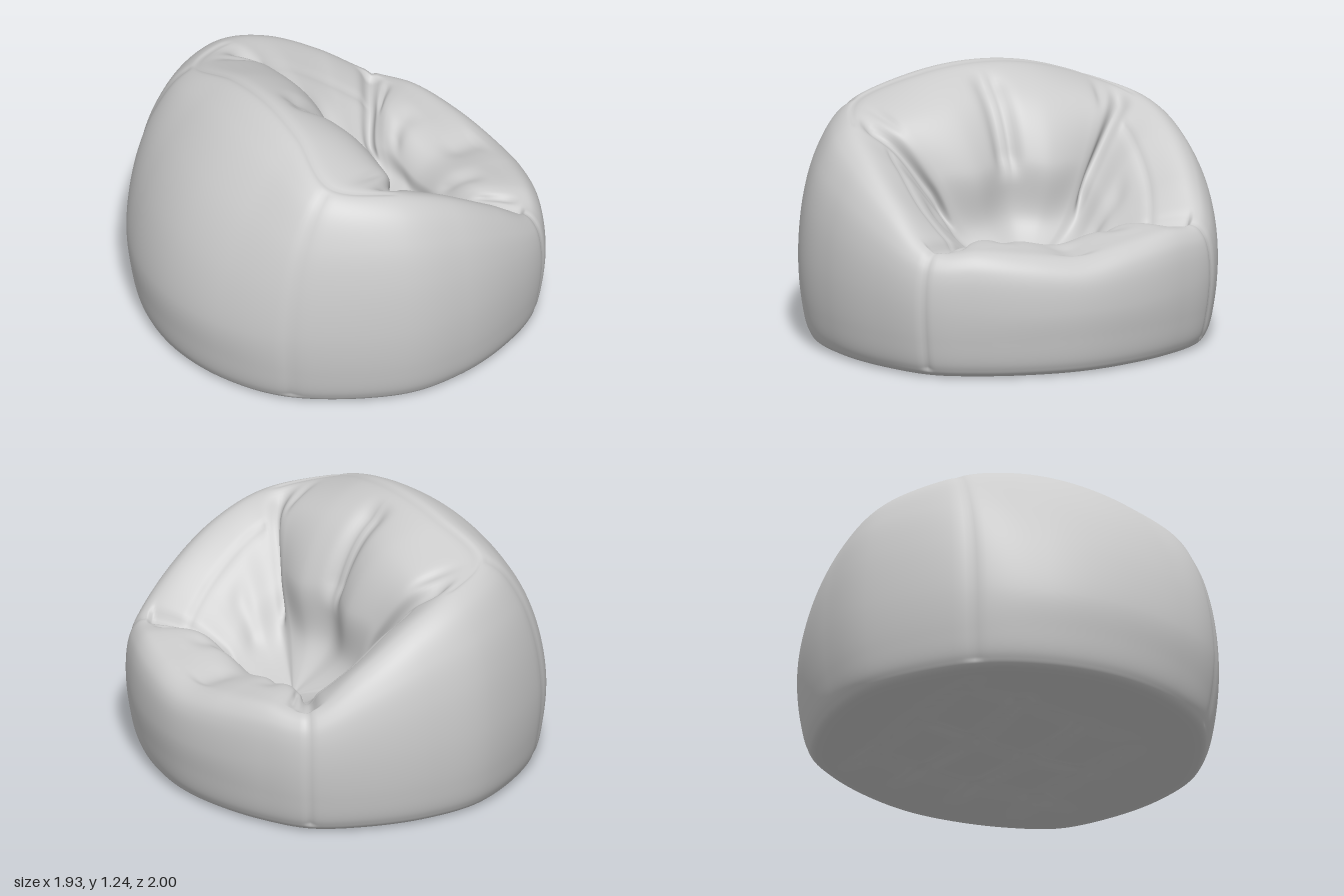
import * as THREE from 'three';

// Half outline of the bag, from the middle of the back to the middle of the front.
// Each key: wall angle (deg), wall height, wall roundness, rim point, then three points down into the seat.
const KEYS = [
  [180, 0.38, 1.65, [-0.36, 1.24, 0], [-0.12, 1.12, 0], [0.03, 0.85, 0], [0.06, 0.55, 0]],
  [158, 0.38, 1.65, [-0.37, 1.21, 0.28], [-0.08, 1.1, 0.25], [0.09, 0.82, 0.2], [0.1, 0.54, 0.14]],
  [136, 0.4, 1.75, [-0.39, 1.11, 0.59], [-0.07, 1.05, 0.5], [0.07, 0.81, 0.37], [0.11, 0.53, 0.24]],
  [102, 0.42, 2.0, [-0.1, 1.05, 0.74], [0.0, 0.96, 0.6], [0.07, 0.72, 0.43], [0.13, 0.49, 0.28]],
  [82, 0.42, 2.0, [0.15, 0.95, 0.77], [0.17, 0.86, 0.61], [0.2, 0.65, 0.43], [0.22, 0.46, 0.28]],
  [63, 0.4, 2.1, [0.42, 0.78, 0.74], [0.37, 0.71, 0.58], [0.33, 0.56, 0.4], [0.32, 0.43, 0.25]],
  [46, 0.36, 2.5, [0.64, 0.61, 0.65], [0.53, 0.59, 0.49], [0.43, 0.49, 0.34], [0.4, 0.4, 0.2]],
  [32, 0.34, 2.9, [0.71, 0.62, 0.46], [0.55, 0.61, 0.37], [0.46, 0.5, 0.26], [0.43, 0.4, 0.16]],
  [16, 0.32, 3.0, [0.74, 0.595, 0.23], [0.56, 0.59, 0.2], [0.47, 0.49, 0.14], [0.45, 0.4, 0.08]],
  [0, 0.32, 3.0, [0.75, 0.565, 0], [0.56, 0.55, 0], [0.47, 0.47, 0], [0.45, 0.39, 0]],
];
const HALF = KEYS.length - 1;
const V = (p) => new THREE.Vector3(...p);

// Closed smooth loop through one point per key, mirrored in z
function loop(pointOf) {
  const side = KEYS.map(pointOf);
  const other = side.slice(1, -1).reverse().map((p) => new THREE.Vector3(p.x, p.y, -p.z));
  return new THREE.CatmullRomCurve3([...side, ...other], true);
}

// Widest outline: an ellipse, a little fuller at the front corners
function widest([deg, y]) {
  const a = THREE.MathUtils.degToRad(deg);
  const full = 1 + 0.05 * Math.exp(-(((deg - 46) / 16) ** 2));
  return new THREE.Vector3(0.965 * Math.cos(a) * full, y, Math.sin(a) * full);
}

const foot = (scale, y) => loop((k) => widest(k).multiplyScalar(scale).setY(y));

// Rounded wall between the widest outline and the rim
const wall = (deg) => loop((k) => {
  const t = THREE.MathUtils.degToRad(deg);
  const m = widest(k), r = V(k[3]);
  const c = Math.cos(t) ** (2 / k[2]), s = Math.sin(t) ** (2 / k[2]);
  return new THREE.Vector3(r.x + (m.x - r.x) * c, m.y + (r.y - m.y) * s, r.z + (m.z - r.z) * c);
});

// Lines running up the bag: key, from row, to row, width, depth
const CREASES = [
  [2, 2.5, 9, 0.07, 0.008],       // rear side seam
  [6, 2.5, 9, 0.07, 0.01],        // front corner seam
  [6, 8.6, 11.6, 0.2, 0.04],      // fold between arm and front lip
  [6.45, 8.9, 10.3, 0.13, 0.018], // small corner wrinkle
  [2.75, 9.1, 11.8, 0.22, 0.04],  // fold beside the back cushion
  [2.2, 9.2, 10.2, 0.15, 0.015],
  [0.1, 9.3, 11.4, 0.2, 0.035],   // fold down the middle of the back
  [9, 8.2, 9.8, 0.35, 0.018],     // dip in the front lip
  [7.6, 9.3, 11, 0.3, 0.015],
  [4.4, 10.3, 12, 0.35, 0.015],
];
// Seams running around the bag: row, from key, to key
const SEAMS = [[9, -1, 3], [10, 3, 6]];

const bump = (x, w) => Math.exp(-((x / w) ** 2));
const within = (x, a, b, soft) =>
  THREE.MathUtils.smoothstep(x, a, a + soft) * (1 - THREE.MathUtils.smoothstep(x, b - soft, b));

function grooveDepth(k, v) {
  let d = 0;
  for (const [at, v0, v1, w, depth] of CREASES) d += depth * bump(k - at, w) * within(v, v0, v1, 0.5);
  for (const [at, k0, k1] of SEAMS) d += 0.008 * bump(v - at, 0.1) * within(k, k0, k1, 0.2);
  return d;
}

// Tucks in the cloth underneath
function baseFold(x, z) {
  let h = 0;
  [-0.55, -0.22, 0.12, 0.45].forEach((c, i) => {
    h += bump(z - c - 0.03 * Math.sin(4 * x + i), 0.04) * within(x, -0.7 + 0.1 * i, 0.75, 0.2);
  });
  [-0.4, 0.05, 0.45].forEach((c, i) => {
    h += bump(x - c - 0.03 * Math.sin(5 * z + i), 0.04) * within(z, -0.6, 0.5 + 0.1 * i, 0.2);
  });
  return 0.022 * Math.min(h, 1.2);
}

function bagGeometry() {
  const point = (x, y) => loop(() => new THREE.Vector3(x, y, 0));
  const loops = [
    point(0, 0.01), foot(0.5, 0.008), foot(0.915, 0.008), foot(0.952, 0.05), foot(0.985, 0.19),
    loop(widest), wall(25), wall(46), wall(69),
    ...[3, 4, 5, 6].map((i) => loop((k) => V(k[i]))),
    point(0.27, 0.35),
  ];
  const last = loops.length - 1;
  const rows = last * 12, cols = HALF * 2 * 16;
  const keyAt = (c) => {
    const k = (c / cols) * HALF * 2;
    return k <= HALF ? k : 2 * HALF - k;
  };

  // Sweep a profile through all the loops at every column
  const pos = new Float32Array((rows + 1) * cols * 3);
  for (let c = 0; c < cols; c++) {
    const profile = new THREE.CatmullRomCurve3(loops.map((l) => l.getPoint(c / cols)));
    for (let r = 0; r <= rows; r++) profile.getPoint(r / rows).toArray(pos, (r * cols + c) * 3);
  }
  const index = [];
  for (let r = 0; r < rows; r++) {
    for (let c = 0; c < cols; c++) {
      const a = r * cols + c, b = r * cols + ((c + 1) % cols);
      index.push(a, b, a + cols, b, b + cols, a + cols);
    }
  }
  const geo = new THREE.BufferGeometry();
  geo.setAttribute('position', new THREE.BufferAttribute(pos, 3));
  geo.setIndex(index);
  geo.computeVertexNormals();

  // Press seams and folds in along the normals
  const p = new THREE.Vector3(), n = new THREE.Vector3();
  for (let i = 0; i < geo.attributes.position.count; i++) {
    const v = (Math.floor(i / cols) / rows) * last;
    p.fromBufferAttribute(geo.attributes.position, i);
    n.fromBufferAttribute(geo.attributes.normal, i);
    p.addScaledVector(n, -grooveDepth(keyAt(i % cols), v));
    if (v < 2) p.y += baseFold(p.x, p.z) * (1 - THREE.MathUtils.smoothstep(v, 1.6, 2));
    p.y = Math.max(p.y, 0);
    geo.attributes.position.setXYZ(i, p.x, p.y, p.z);
  }
  geo.computeVertexNormals();
  return geo;
}

export function createModel() {
  const group = new THREE.Group();
  group.name = 'beanBagChair';
  const bag = new THREE.Mesh(
    bagGeometry(),
    new THREE.MeshStandardMaterial({ color: 0xcccccc, side: THREE.DoubleSide }),
  );
  bag.name = 'bag';
  group.add(bag);
  return group;
}
